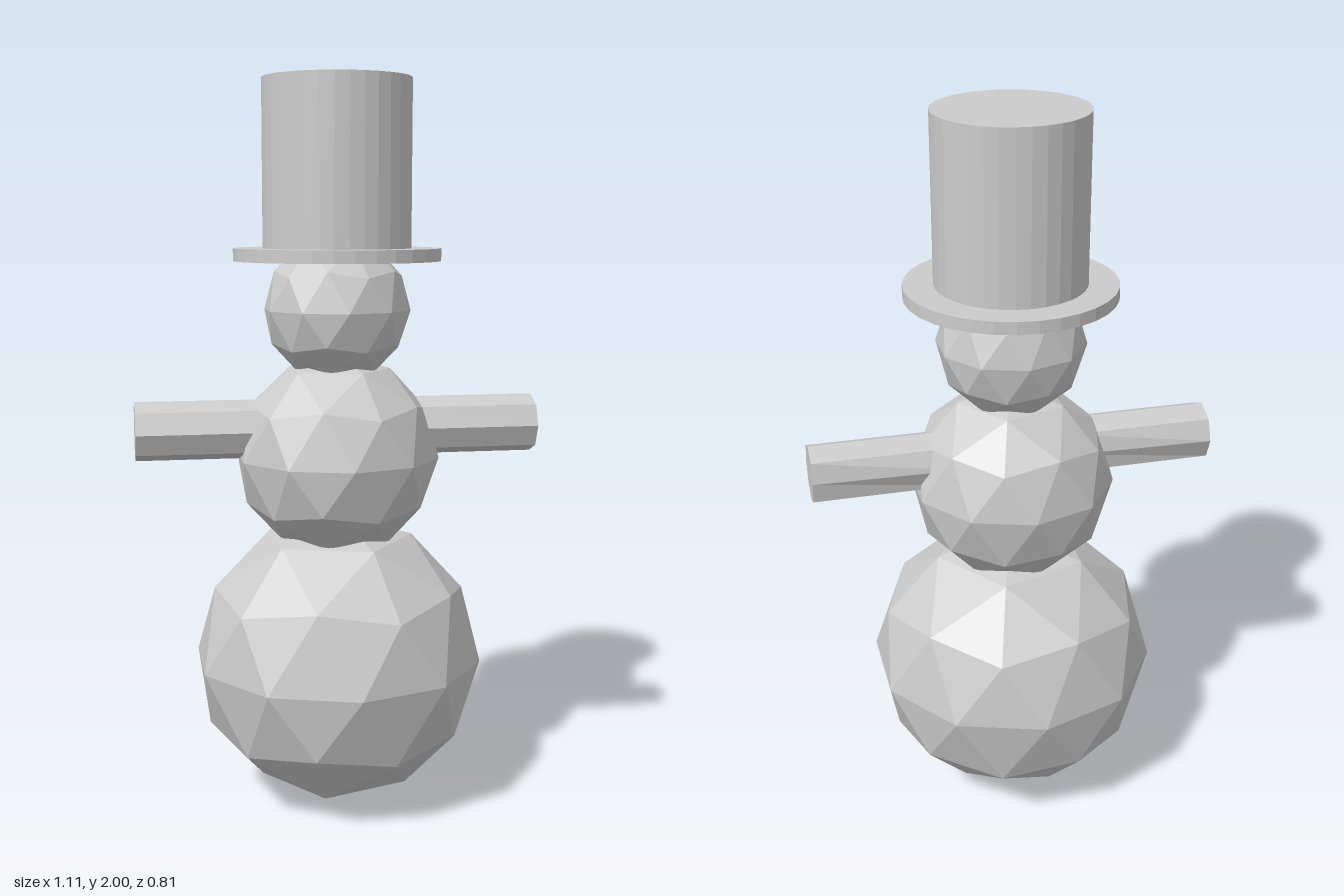
import * as THREE from 'three';

export function createModel() {
  const group = new THREE.Group();
  const mat = new THREE.MeshStandardMaterial({ color: 0xcccccc, flatShading: true });
  const add = (name, geo, x, y) => {
    const mesh = new THREE.Mesh(geo, mat);
    mesh.name = name;
    mesh.position.set(x, y, 0);
    group.add(mesh);
  };

  // Three faceted snowballs, each with a vertex at its top and bottom
  const tilt = -Math.atan(2 / (1 + Math.sqrt(5)));
  const ball = (name, r, y) =>
    add(name, new THREE.IcosahedronGeometry(r, 1).rotateZ(tilt), 0, y);
  ball('lowerBody', 0.405, 0.406);
  ball('upperBody', 0.283, 0.982);
  ball('head', 0.202, 1.386);

  // Top hat
  add('hatBrim', new THREE.CylinderGeometry(0.283, 0.283, 0.034, 32), 0, 1.535);
  add('hatCrown', new THREE.CylinderGeometry(0.202, 0.202, 0.465, 32), 0, 1.7675);

  // Eight-sided stub arms, slightly narrowed at the back of their +x end
  const length = 0.4, tip = 0.555;
  for (const side of [1, -1]) {
    const geo = new THREE.CylinderGeometry(0.081, 0.081, length, 8).rotateZ(-Math.PI / 2);
    const p = geo.attributes.position;
    for (let i = 0; i < p.count; i++) {
      if (p.getX(i) > 0 && p.getZ(i) < -0.07) p.setZ(i, -0.067);
    }
    add(side > 0 ? 'leftArm' : 'rightArm', geo, side * (tip - length / 2), 1.062);
  }
  return group;
}
